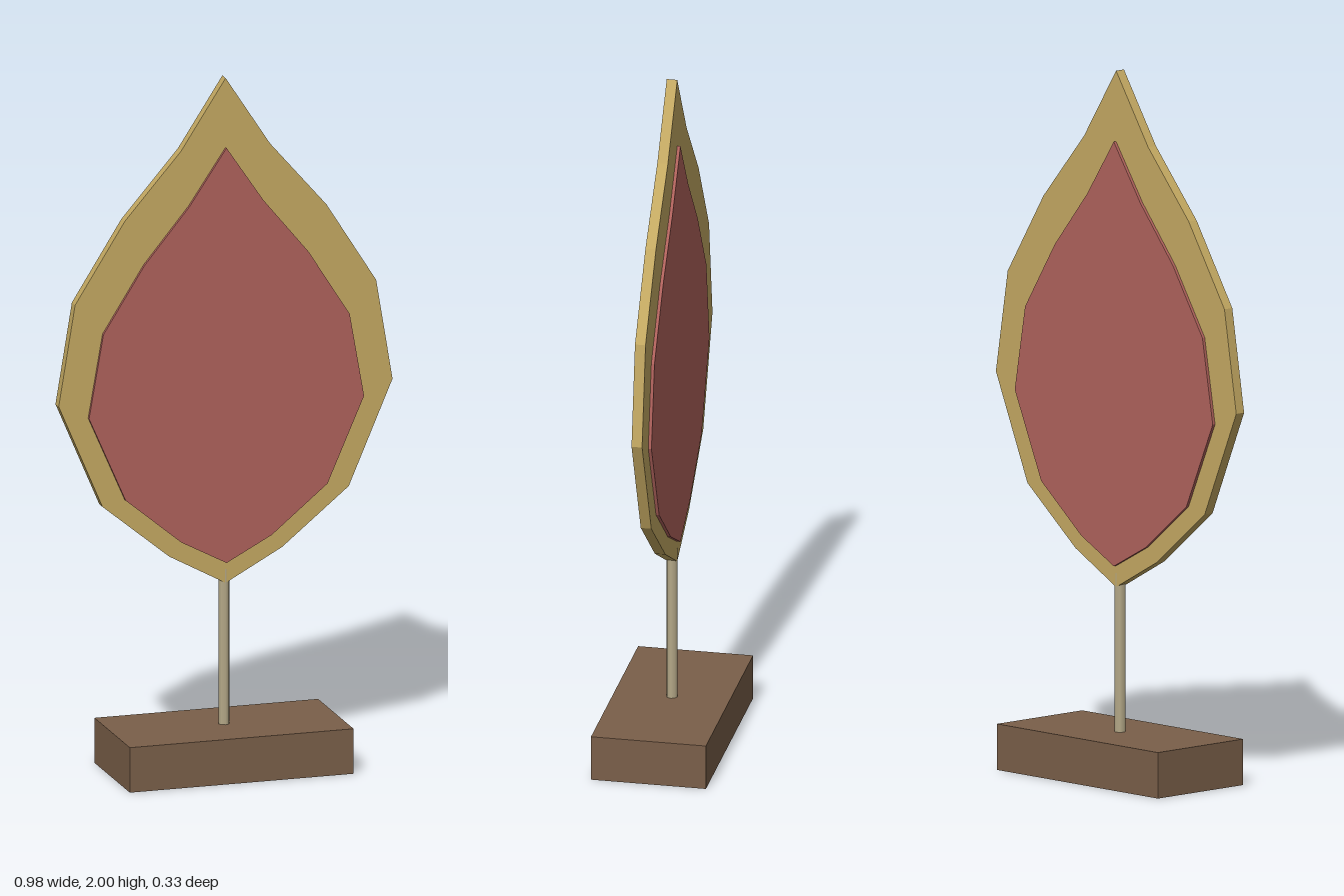
import * as THREE from 'three';

// Right half of each leaf outline, from tip to foot
const RIM = [[0, 2], [0.13, 1.8], [0.295, 1.61], [0.44, 1.38], [0.488, 1.09], [0.36, 0.79], [0.165, 0.63], [0, 0.54]];
const PANEL = [[0, 1.8], [0.108, 1.64], [0.24, 1.48], [0.36, 1.29], [0.402, 1.05], [0.295, 0.805], [0.132, 0.67], [0, 0.6]];

function part(name, geometry, color) {
  const mesh = new THREE.Mesh(geometry, new THREE.MeshStandardMaterial({ color }));
  mesh.name = name;
  return mesh;
}

// Mirrored flat plate, centred on z = 0
function leafPlate(half, depth) {
  const mirrored = half.slice(1, -1).reverse().map(([x, y]) => [-x, y]);
  const shape = new THREE.Shape([...half, ...mirrored].map(([x, y]) => new THREE.Vector2(x, y)));
  return new THREE.ExtrudeGeometry(shape, { depth, bevelEnabled: false }).translate(0, 0, -depth / 2);
}

export function createModel() {
  const model = new THREE.Group();
  model.name = 'leafOrnament';

  // Wooden block
  const base = part('base', new THREE.BoxGeometry(0.654, 0.13, 0.327), 0x7a5f49);
  base.position.y = 0.065;

  // Thin metal rod, let slightly into the base and the leaf
  const stem = part('stem', new THREE.CylinderGeometry(0.016, 0.016, 0.48, 8), 0xb5a988);
  stem.position.y = 0.34;

  // Gold leaf with a raised red panel showing on both faces
  const rim = part('leafRim', leafPlate(RIM, 0.03), 0xc4a962);
  const panel = part('leafPanel', leafPlate(PANEL, 0.048), 0xb0625c);

  model.add(base, stem, rim, panel);
  return model;
}
